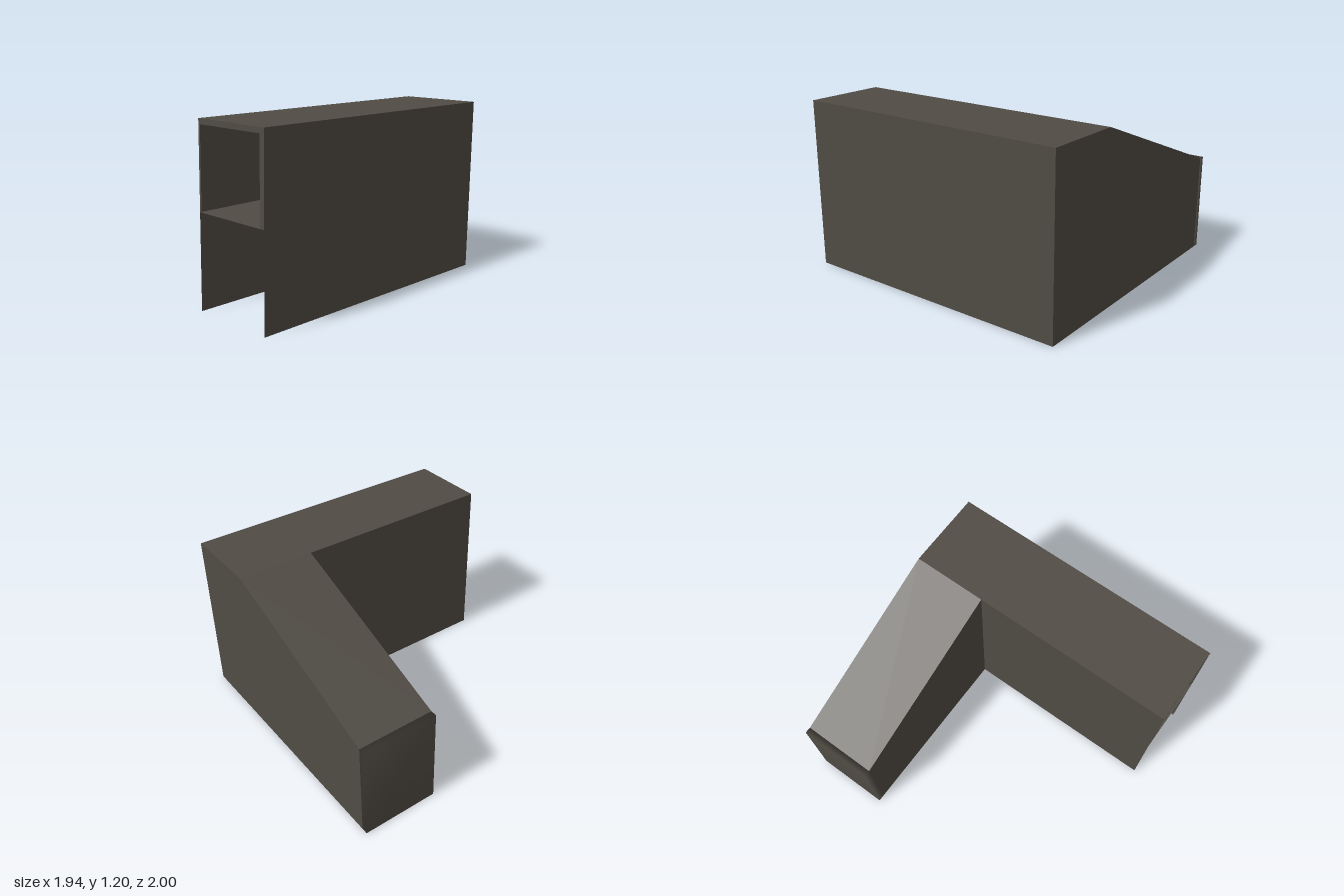
import * as THREE from 'three';
import { mergeVertices } from 'three/addons/utils/BufferGeometryUtils.js';

const X0 = -0.97, XE = -0.925, XI = 0.395, X1 = 0.97; // end, end of slope, inner corner, right side
const Z0 = -1, ZI = -0.46, Z1 = 1;
const TOP = 1.2, LOW = 0.7, MID = 0.315, HIGH = 0.63;
const STEPS = 5, RUN = 0.145;

export function createModel() {
  const model = new THREE.Group();
  model.name = 'coveredStairway';
  const stone = new THREE.MeshStandardMaterial({ color: 0x504b44, side: THREE.DoubleSide });
  stone.name = 'darkStone';

  const add = (name, geometry) => {
    const mesh = new THREE.Mesh(geometry, stone);
    mesh.name = name;
    model.add(mesh);
    return mesh;
  };

  // flat convex panel from its corners, counter-clockwise from outside
  const panel = (name, ...corners) => {
    const positions = [];
    for (let i = 1; i < corners.length - 1; i++) positions.push(...corners[0], ...corners[i], ...corners[i + 1]);
    const g = new THREE.BufferGeometry();
    g.setAttribute('position', new THREE.Float32BufferAttribute(positions, 3));
    g.computeVertexNormals();
    return add(name, g);
  };

  // horizontal panel facing up
  const slab = (name, xa, xb, za, zb, y) =>
    panel(name, [xa, y, zb], [xb, y, zb], [xb, y, za], [xa, y, za]);

  // softly shaded thin flight of steps; place(run, height, side) gives a point
  const flight = (name, place) => {
    const profile = [[0, 0]];
    for (let i = 0; i < STEPS; i++) {
      const y = (i + 1) / STEPS;
      profile.push([i * RUN, y], [(i + 1) * RUN, y]);
    }
    const positions = [], index = [];
    profile.forEach(([r, h], i) => {
      positions.push(...place(r, h, 0), ...place(r, h, 1));
      const a = 2 * i;
      if (i) index.push(a - 2, a - 1, a, a - 1, a + 1, a);
    });
    const g = new THREE.BufferGeometry();
    g.setAttribute('position', new THREE.Float32BufferAttribute(positions, 3));
    g.setIndex(index);
    g.computeVertexNormals();
    add(name, g);
  };

  // outer walls
  panel('backWall', [X1, 0, Z0], [XE, 0, Z0], [XE, LOW, Z0], [XI, TOP, Z0], [X1, TOP, Z0]);
  panel('frontWall', [XE, 0, ZI], [XI, 0, ZI], [XI, TOP, ZI], [XE, LOW, ZI]);
  panel('rightWall', [X1, 0, Z1], [X1, 0, Z0], [X1, TOP, Z0], [X1, TOP, Z1]);
  panel('innerWall', [XI, 0, ZI], [XI, 0, Z1], [XI, TOP, Z1], [XI, TOP, ZI]);

  // roof
  slab('flatRoof', XI, X1, Z0, Z1, TOP);
  panel('slopedRoof', [XE, LOW, ZI], [XI, TOP, ZI], [XI, TOP, Z0], [XE, LOW, Z0]);

  // closed lower end, softly shaded
  const block = new THREE.BoxGeometry(XE - X0, LOW, ZI - Z0);
  block.deleteAttribute('normal');
  block.deleteAttribute('uv');
  const cap = mergeVertices(block);
  cap.computeVertexNormals();
  add('lowerEnd', cap).position.set((X0 + XE) / 2, LOW / 2, (Z0 + ZI) / 2);

  // thin frame round the upper opening
  const bar = (xa, xb, ya, yb) =>
    panel('doorFrame', [xa, ya, Z1], [xb, ya, Z1], [xb, yb, Z1], [xa, yb, Z1]);
  bar(XI, 0.41, HIGH, TOP);
  bar(0.935, X1, HIGH, TOP);
  bar(0.41, 0.935, 1.165, TOP);

  // floors and the two flights of steps
  const startA = XI - STEPS * RUN;
  slab('lowerFloor', XE, startA, Z0, ZI, 0.002);
  flight('lowerSteps', (r, h, s) => [startA + r, h * MID, s ? Z0 : ZI]);
  slab('landing', XI, X1, Z0, ZI, MID);
  flight('upperSteps', (r, h, s) => [s ? XI : X1, MID + h * (HIGH - MID), ZI + r]);
  slab('upperFloor', XI, X1, ZI + STEPS * RUN, Z1, HIGH);

  return model;
}
